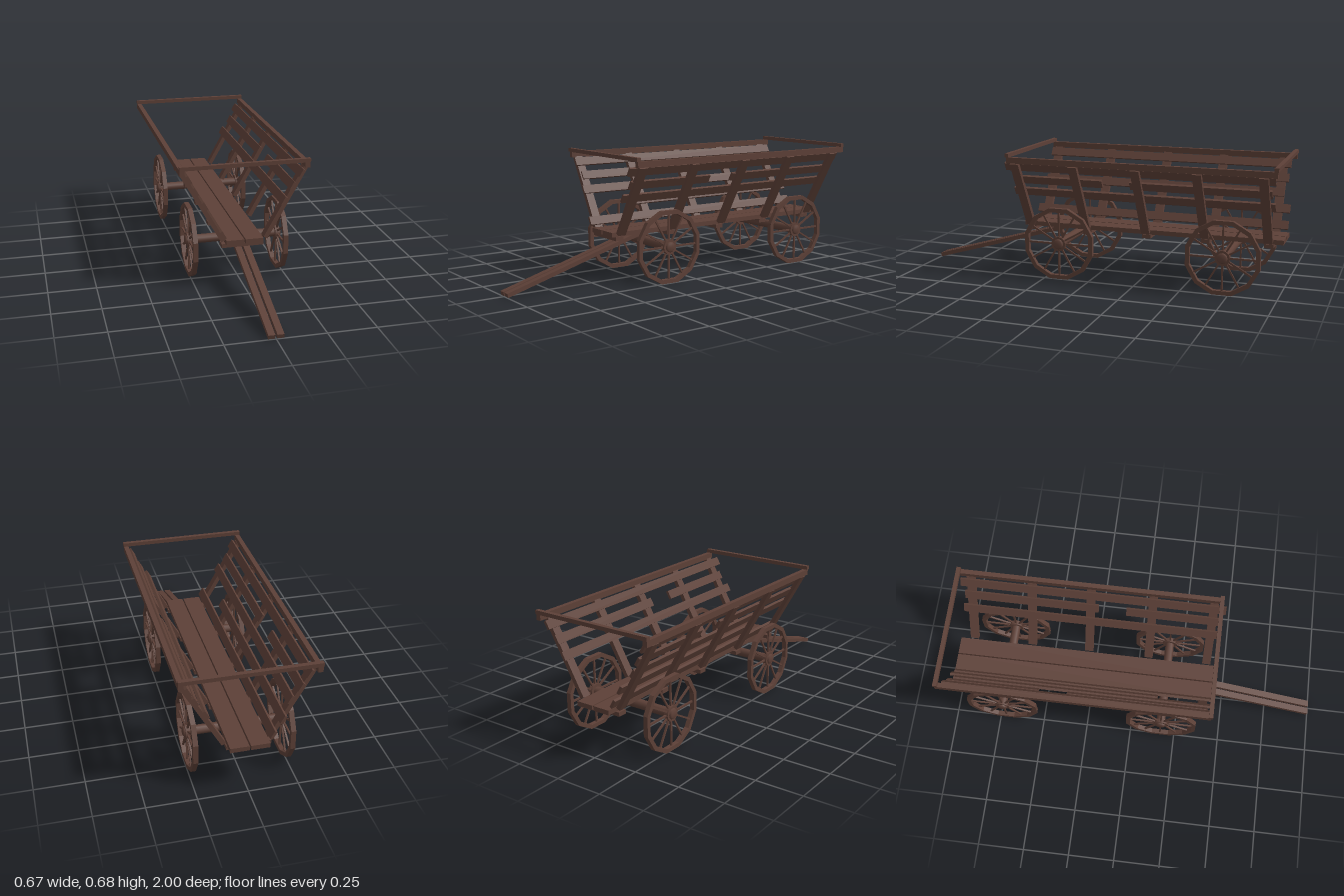
import * as THREE from 'three';

export function createModel() {
  const model = new THREE.Group();
  const wood = new THREE.MeshStandardMaterial({ color: 0x5d4037 });
  wood.name = 'darkWood';

  const add = (parent, name, geometry, x = 0, y = 0, z = 0) => {
    const mesh = new THREE.Mesh(geometry, wood);
    mesh.name = name;
    mesh.position.set(x, y, z);
    parent.add(mesh);
    return mesh;
  };
  // Box given by its extents on each axis
  const beam = (parent, name, [x0, x1], [y0, y1], [z0, z1]) =>
    add(parent, name, new THREE.BoxGeometry(x1 - x0, y1 - y0, z1 - z0),
      (x0 + x1) / 2, (y0 + y1) / 2, (z0 + z1) / 2);

  // Floor planks and the cross bars that carry them
  beam(model, 'floorPlank', [-0.1, -0.006], [0.248, 0.272], [-1, 0.43]);
  beam(model, 'floorPlank', [0.001, 0.095], [0.248, 0.272], [-1, 0.43]);
  const postZ = [0.385, 0.06, -0.275, -0.595, -0.925];
  for (const z of postZ) {
    beam(model, 'floorCrossBar', [-0.12, 0.1], [0.227, 0.248], [z - 0.024, z + 0.024]);
  }

  // Sloping sides: posts, slats and top rail
  const lean = Math.atan2(0.208, 0.368);
  const slatRows = { // x, y, then z ranges for each side
    right: [
      [0.287, 0.607, [-0.97, 0.42]],
      [0.25, 0.535, [-0.965, -0.48], [-0.33, 0.4]],
      [0.207, 0.463, [-0.95, 0.42]],
      [0.162, 0.385, [-0.99, 0.14]],
      [0.117, 0.305, [-0.99, 0.435]],
    ],
    left: [
      [0.287, 0.607, [-0.98, 0.45]],
      [0.25, 0.535, [-0.96, -0.23], [-0.08, 0.42]],
      [0.202, 0.463, [-0.97, 0.435]],
    ],
  };
  for (const [name, side] of [['right', -1], ['left', 1]]) {
    const wall = new THREE.Group();
    wall.name = name + 'Side';
    model.add(wall);
    for (const z of postZ) {
      const post = add(wall, 'sidePost', new THREE.BoxGeometry(0.023, 0.42, 0.046), side * 0.215, 0.446, z);
      post.rotation.z = -side * lean;
    }
    for (const [x, y, ...ranges] of slatRows[name]) {
      for (const [z0, z1] of ranges) {
        const slat = add(wall, 'sideSlat', new THREE.BoxGeometry(0.014, 0.046, z1 - z0), side * x, y, (z0 + z1) / 2);
        slat.rotation.z = -side * lean;
      }
    }
    add(wall, 'topRail', new THREE.BoxGeometry(0.025, 0.031, 1.42), side * 0.323, 0.645, -0.285);
  }
  for (const z of [0.422, -0.988]) {
    add(model, 'endRail', new THREE.BoxGeometry(0.674, 0.02, 0.022), 0, 0.67, z);
  }

  // Wheel: twelve-sided rim, spokes and hub, facing along x
  const rimShape = new THREE.Shape();
  const rimHole = new THREE.Path();
  const corners = (r) => Array.from({ length: 12 }, (_, i) => {
    const a = (i + 0.5) * Math.PI / 6;
    return new THREE.Vector2(r * Math.cos(a), r * Math.sin(a));
  });
  rimShape.setFromPoints(corners(0.199));
  rimHole.setFromPoints(corners(0.177));
  rimShape.holes.push(rimHole);
  const rim = new THREE.ExtrudeGeometry(rimShape, { depth: 0.025, bevelEnabled: false });
  rim.translate(0, 0, -0.0125);
  rim.rotateY(Math.PI / 2);
  const hub = new THREE.CylinderGeometry(0.04, 0.04, 0.024, 12).rotateZ(Math.PI / 2);
  const spoke = new THREE.BoxGeometry(0.009, 0.15, 0.009).translate(0, 0.107, 0);
  const makeWheel = () => {
    const wheel = new THREE.Group();
    wheel.name = 'wheel';
    add(wheel, 'rim', rim);
    add(wheel, 'hub', hub);
    for (let i = 0; i < 12; i++) add(wheel, 'spoke', spoke).rotation.x = i * Math.PI / 6;
    return wheel;
  };

  // Axles with chamfered ends, carrying the wheels
  const axleProfile = [[0, -0.263], [0.021, -0.263], [0.028, -0.255], [0.028, -0.235], [0.024, -0.235],
    [0.024, 0.235], [0.028, 0.235], [0.028, 0.255], [0.021, 0.263], [0, 0.263]]
    .map(([r, y]) => new THREE.Vector2(r, y));
  const axle = new THREE.LatheGeometry(axleProfile, 12).rotateZ(Math.PI / 2);
  for (const [name, z] of [['frontAxle', 0.17], ['rearAxle', -0.718]]) {
    const group = new THREE.Group();
    group.name = name;
    group.position.set(-0.004, 0.193, z);
    add(group, 'axle', axle);
    for (const side of [-1, 1]) {
      const wheel = makeWheel();
      wheel.position.x = side * 0.241;
      group.add(wheel);
    }
    model.add(group);
  }

  // Twin draw shafts sloping down to the ground at the front
  const slope = Math.atan2(0.23, 0.79);
  for (const x of [-0.0215, 0.0225]) {
    const shaft = add(model, 'drawShaft', new THREE.BoxGeometry(0.034, 0.022, 0.825), x, 0.127, 0.602);
    shaft.rotation.x = slope;
  }
  return model;
}
